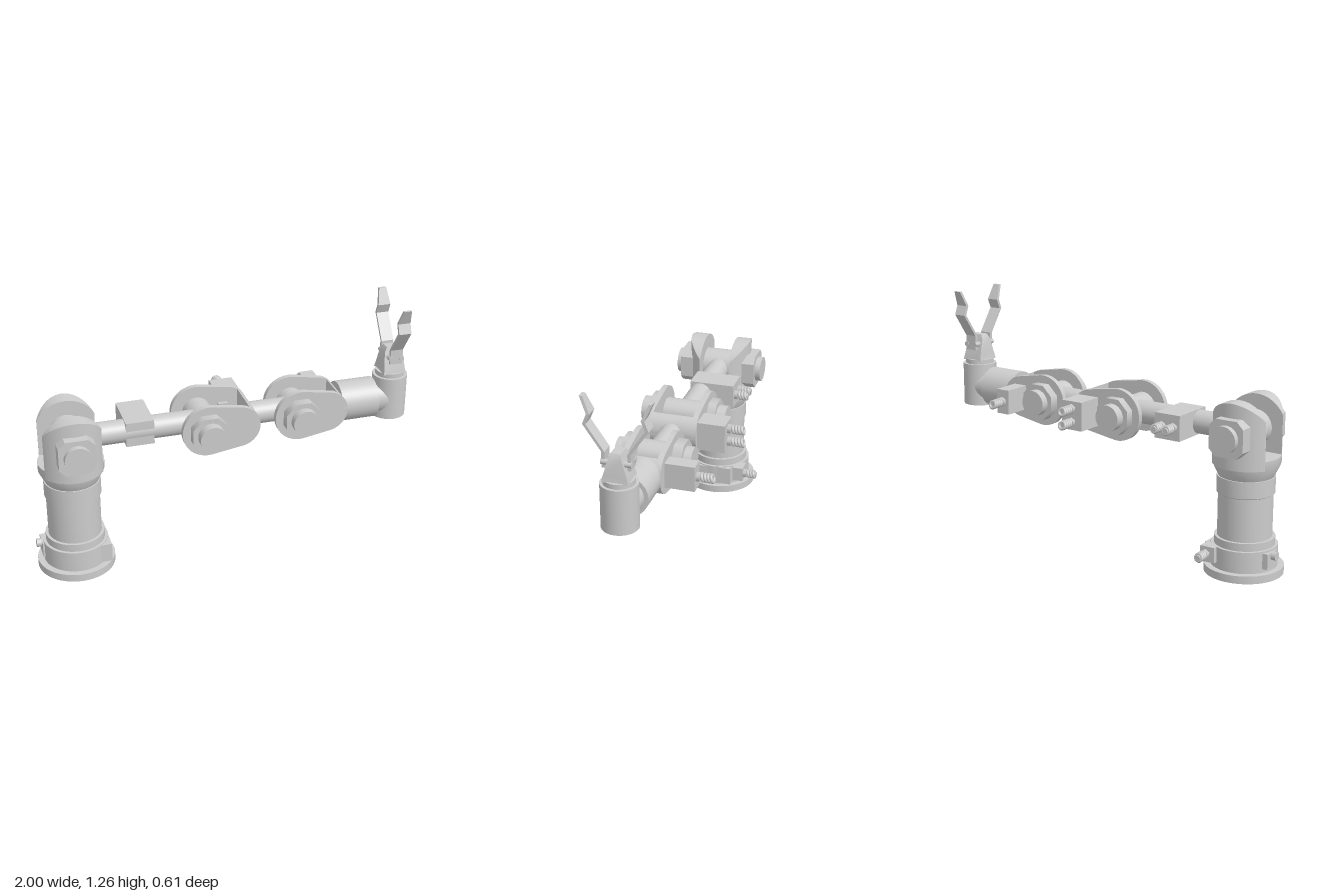
import * as THREE from 'three';
import { toCreasedNormals } from 'three/addons/utils/BufferGeometryUtils.js';

const mat = new THREE.MeshStandardMaterial({ color: 0xcccccc });
const AXIS_Y = 0.725; // height of the arm's centre line

function add(parent, name, geo, x = 0, y = 0, z = 0) {
  const m = new THREE.Mesh(geo, mat);
  m.name = name;
  m.position.set(x, y, z);
  parent.add(m);
  return m;
}
const box = (w, h, d) => new THREE.BoxGeometry(w, h, d);
const cylY = (r, h, n = 40) => new THREE.CylinderGeometry(r, r, h, n);
const cylZ = (r, h, n = 40) => cylY(r, h, n).rotateX(Math.PI / 2);
const cylX = (r, h, n = 40) => cylY(r, h, n).rotateZ(Math.PI / 2);
const extrude = (shape, depth) => toCreasedNormals(
  new THREE.ExtrudeGeometry(shape, { depth, bevelEnabled: false, curveSegments: 24 })
    .translate(0, 0, -depth / 2), 0.6);

// Solid through a row of four-cornered rings
function loft(rings) {
  const pos = [], idx = [], n = rings.length;
  rings.forEach((r) => r.forEach((p) => pos.push(...p)));
  for (let i = 0; i < n - 1; i++) {
    for (let j = 0; j < 4; j++) {
      const a = i * 4 + j, b = i * 4 + (j + 1) % 4;
      idx.push(a, b, b + 4, a, b + 4, a + 4);
    }
  }
  const e = (n - 1) * 4;
  idx.push(0, 2, 1, 0, 3, 2, e, e + 1, e + 2, e, e + 2, e + 3);
  const g = new THREE.BufferGeometry();
  g.setAttribute('position', new THREE.Float32BufferAttribute(pos, 3));
  g.setIndex(idx);
  return toCreasedNormals(g, 0.5);
}

// Cable plug with a coiled sleeve, pointing to -z from the given point
function plug(parent, x, y, z, len = 0.08) {
  const g = new THREE.Group();
  g.name = 'cablePlug';
  g.position.set(x, y, z);
  add(g, 'plugCore', cylZ(0.014, len, 12), 0, 0, -len / 2);
  add(g, 'plugNut', cylZ(0.026, 0.02, 6), 0, 0, -0.01);
  for (let d = 0.03; d < len; d += 0.016) {
    const ring = add(g, 'plugCoil', new THREE.TorusGeometry(0.018, 0.008, 8, 16), 0, 0, -d);
    ring.rotation.x = 0.3;
  }
  parent.add(g);
}

// Faceted nut and round cap on both ends of a joint pin
function pinCaps(parent, x, z0, z1, z2, nutR, sides) {
  for (const s of [1, -1]) {
    const nut = cylY(nutR, z1 - z0, sides).rotateY(Math.PI / sides).rotateX(Math.PI / 2);
    add(parent, 'pinNut', nut, x, AXIS_Y, s * (z0 + z1) / 2);
    add(parent, 'pinCap', cylZ(0.068, z2 - z1, 32), x, AXIS_Y, s * (z1 + z2) / 2);
  }
}

function createBase(root) {
  const base = new THREE.Group();
  base.name = 'base';
  base.position.x = -0.8;
  root.add(base);
  // Turned foot and column
  const profile = [[0, 0], [0.2, 0], [0.2, 0.04], [0.167, 0.04], [0.167, 0.15], [0.152, 0.15],
    [0.152, 0.19], [0.137, 0.19], [0.137, 0.41], [0.145, 0.415], [0.145, 0.5], [0.138, 0.5],
    [0.167, 0.56], [0.167, 0.605], [0, 0.605]];
  const turned = new THREE.LatheGeometry(profile.map((p) => new THREE.Vector2(...p)), 48);
  add(base, 'column', toCreasedNormals(turned, 0.5));
  // Sockets around the foot
  add(base, 'sideBlock', box(0.1, 0.1, 0.23), 0.115, 0.095, 0.01);
  add(base, 'cableSocket', box(0.08, 0.08, 0.06), 0.11, 0.11, -0.145);
  plug(base, 0.12, 0.11, -0.175, 0.075);
  add(base, 'rightSocket', box(0.06, 0.08, 0.1), -0.145, 0.1, -0.03);
  add(base, 'rightButton', cylX(0.022, 0.03, 16), -0.185, 0.122, -0.03);
}

function createShoulder(root) {
  const shoulder = new THREE.Group();
  shoulder.name = 'shoulder';
  shoulder.position.x = -0.8;
  root.add(shoulder);
  // Round-topped cheeks, curved in plan to follow the column
  const R = 0.17, inner = 0.083, half = Math.sqrt(R * R - inner * inner) - 0.002;
  const rings = [];
  for (let i = 0; i <= 32; i++) {
    const x = -half * Math.cos(Math.PI * i / 32);
    const top = AXIS_Y + Math.sqrt(0.165 ** 2 - x * x), outer = Math.sqrt(R * R - x * x);
    rings.push([[x, 0.56, inner], [x, top, inner], [x, top, outer], [x, 0.56, outer]]);
  }
  const cheek = loft(rings);
  add(shoulder, 'frontCheek', cheek);
  add(shoulder, 'backCheek', cheek).rotation.y = Math.PI;
  add(shoulder, 'shoulderHub', cylZ(0.088, 0.18), 0, AXIS_Y, 0);
  // Square plates with cut corners under the caps
  const a = 0.093, c = 0.058;
  const plate = new THREE.Shape([[a, -c], [a, c], [c, a], [-c, a], [-a, c], [-a, -c], [-c, -a], [c, -a]]
    .map((p) => new THREE.Vector2(...p)));
  for (const s of [1, -1]) {
    add(shoulder, 'pinPlate', extrude(plate, 0.12), 0, AXIS_Y, s * 0.152);
    add(shoulder, 'pinCap', cylZ(0.068, 0.03, 32), 0, AXIS_Y, s * 0.226);
  }
}

// Two tapered plates joined by a web, turning on a hub
function createFork(root, name, x, length, z0, z1, capZ1, capZ2) {
  const fork = new THREE.Group();
  fork.name = name;
  root.add(fork);
  const R = 0.135, r = 0.11, t = Math.acos((R - r) / length);
  const plate = new THREE.Shape();
  plate.absarc(0, 0, R, t, 2 * Math.PI - t, false);
  plate.absarc(length, 0, r, -t, t, false);
  plate.closePath();
  for (const s of [1, -1]) {
    add(fork, 'forkPlate', extrude(plate, z1 - z0), x, AXIS_Y, s * (z0 + z1) / 2);
    add(fork, 'stopBlock', box(0.05, 0.06, 0.03), x + 0.14, AXIS_Y, s * (z0 - 0.005));
  }
  const web = new THREE.Shape();
  web.absarc(0, 0, r, -1.02, 1.02, false);
  web.closePath();
  add(fork, 'forkWeb', extrude(web, 2 * z0 + 0.01), x + length, AXIS_Y, 0);
  add(fork, 'forkHub', cylZ(0.074, 2 * z0 + 0.01), x, AXIS_Y, 0);
  pinCaps(fork, x, z1, capZ1, capZ2, 0.1, 8);
}

function createArm(root) {
  const arm = new THREE.Group();
  arm.name = 'arm';
  root.add(arm);
  add(arm, 'upperRod', cylX(0.06, 0.62), -0.46, AXIS_Y, 0);
  add(arm, 'foreRod', cylX(0.06, 0.24), 0.25, AXIS_Y, 0);
  createFork(arm, 'elbow', -0.118, 0.163, 0.105, 0.133, 0.178, 0.226);
  createFork(arm, 'wristJoint', 0.38, 0.147, 0.077, 0.105, 0.155, 0.196);
  // Cable boxes
  add(arm, 'upperCableBox', box(0.145, 0.13, 0.24), -0.452, AXIS_Y, -0.063);
  plug(arm, -0.487, AXIS_Y, -0.183, 0.075);
  plug(arm, -0.42, AXIS_Y, -0.183, 0.075);
  add(arm, 'elbowCableBox', box(0.125, 0.15, 0.15), 0.062, AXIS_Y, -0.203);
  plug(arm, 0.062, 0.76, -0.278, 0.08);
  plug(arm, 0.062, 0.69, -0.278, 0.08);
  add(arm, 'wristCableBox', box(0.078, 0.13, 0.155), 0.533, AXIS_Y, -0.178);
  plug(arm, 0.535, 0.725, -0.255, 0.08);
}

function createHand(root) {
  const hand = new THREE.Group();
  hand.name = 'hand';
  hand.position.x = 0.908;
  root.add(hand);
  // Wrist barrel and upright swivel
  add(hand, 'wristBarrel', cylX(0.106, 0.2), -0.195, AXIS_Y, 0);
  add(hand, 'wristNeck', cylX(0.085, 0.08), -0.07, AXIS_Y, 0);
  add(hand, 'swivel', cylY(0.091, 0.23), 0, 0.735, 0);
  add(hand, 'swivelCollar', cylY(0.076, 0.025), 0, 0.862, 0);
  // Tapered gripper head
  const ring = ([y, w, d]) => [[-w, y, -d], [-w, y, d], [w, y, d], [w, y, -d]];
  add(hand, 'gripperHead', loft([[0.87, 0.062, 0.064], [0.9, 0.056, 0.058],
    [0.985, 0.05, 0.032], [1.01, 0.035, 0.024]].map(ring)));
  for (const x of [-0.028, 0.028]) add(hand, 'fingerBolt', cylZ(0.014, 0.148, 12), x, 0.96, 0);
  // Bent fingers; the outline is in (z, y), tips narrowed
  const path = [[0.054, 0.93], [0.054, 1.01], [0.14, 1.135], [0.12, 1.185], [0.155, 1.265]];
  const outline = [...path, ...path.map(([z, y]) => [z + 0.016, y]).reverse()];
  const geo = new THREE.ExtrudeGeometry(new THREE.Shape(outline.map((p) => new THREE.Vector2(...p))),
    { depth: 0.066, bevelEnabled: false }).translate(0, 0, -0.033).rotateY(-Math.PI / 2);
  const p = geo.attributes.position;
  for (let i = 0; i < p.count; i++) if (p.getY(i) > 1.25) p.setX(i, p.getX(i) * 0.6);
  geo.computeVertexNormals();
  add(hand, 'frontFinger', geo);
  add(hand, 'backFinger', geo).rotation.y = Math.PI;
}

export function createModel() {
  const model = new THREE.Group();
  model.name = 'robotArm';
  const root = new THREE.Group();
  root.name = 'armAssembly';
  root.position.z = 0.055;
  model.add(root);
  createBase(root);
  createShoulder(root);
  createArm(root);
  createHand(root);
  return model;
}
